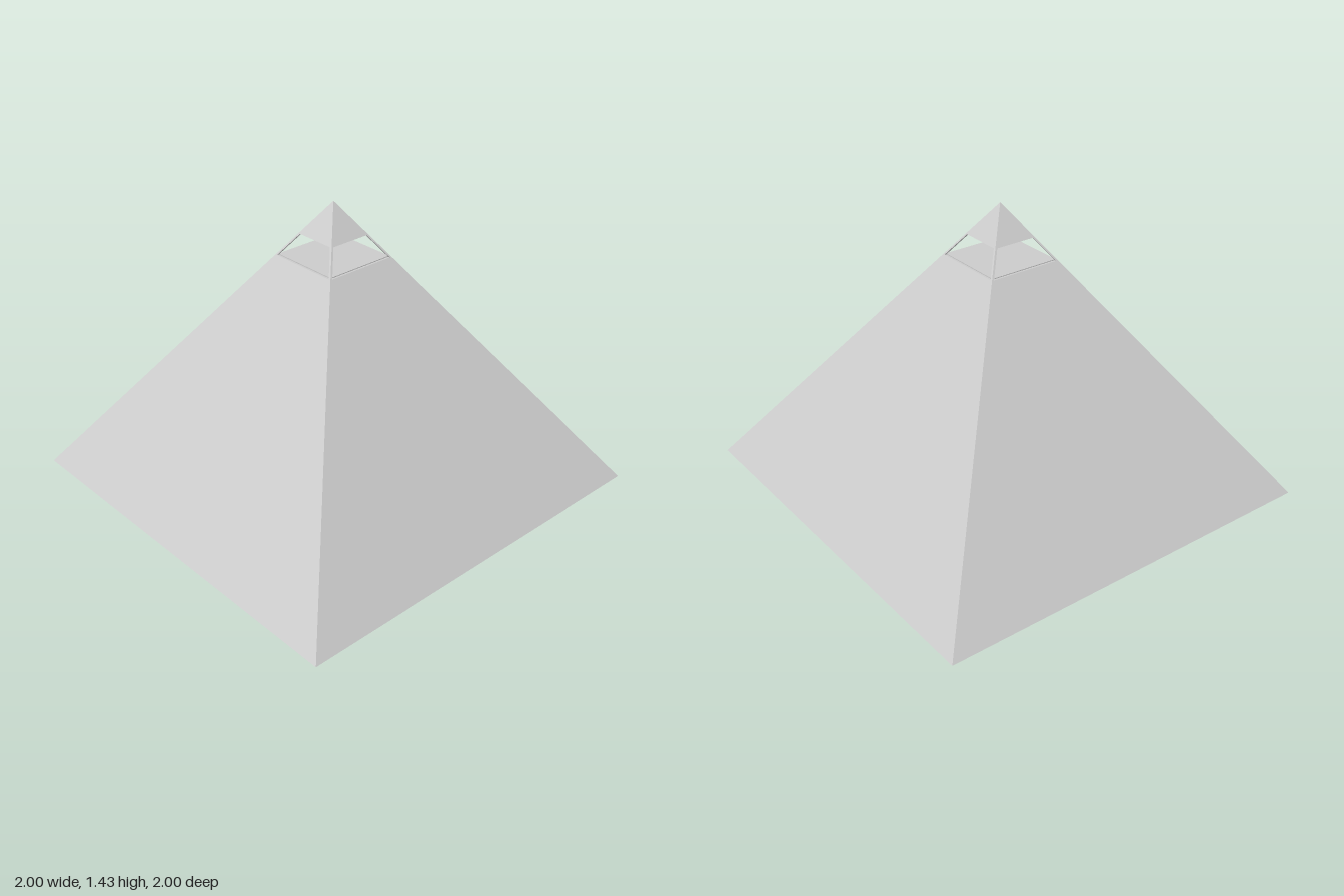
import * as THREE from 'three';

const HEIGHT = 1.43;      // apex height
const DECK = 1.163;       // top of the main body
const CEILING = 1.27;     // underside of the capstone
const SEAM = 1.32;        // joint between cap band and tip
const halfWidth = (y) => (HEIGHT - y) / HEIGHT;

export function createModel() {
  const group = new THREE.Group();
  const material = new THREE.MeshStandardMaterial({ color: 0xcccccc, flatShading: true });

  const add = (name, geometry) => {
    const mesh = new THREE.Mesh(geometry, material);
    mesh.name = name;
    group.add(mesh);
    return mesh;
  };

  // Square slice of the pyramid between two heights
  const slice = (name, y0, y1) => {
    const geometry = new THREE.CylinderGeometry(
      halfWidth(y1) * Math.SQRT2, halfWidth(y0) * Math.SQRT2, y1 - y0, 4);
    geometry.rotateY(Math.PI / 4);
    geometry.translate(0, (y0 + y1) / 2, 0);
    return add(name, geometry);
  };

  slice('body', 0, DECK);
  slice('capBand', CEILING, SEAM);
  slice('capTip', SEAM, HEIGHT);

  // Thin floor slab of the open deck
  const floorSize = 2 * halfWidth(DECK) - 0.02;
  add('deckFloor', new THREE.BoxGeometry(floorSize, 0.006, floorSize))
    .position.y = DECK + 0.001;

  // Shallow round fixture under the capstone
  add('ceilingFixture', new THREE.CylinderGeometry(0.08, 0.055, 0.017, 24))
    .position.y = CEILING - 0.008;

  // Slanted corner posts that continue the pyramid's edges
  const thickness = 0.011;
  const post = new THREE.BoxGeometry(1, 1, 1);
  const p = post.attributes.position;
  for (let i = 0; i < p.count; i++) {
    const y = p.getY(i) > 0 ? CEILING : DECK;
    const inset = (v) => halfWidth(y) - thickness * (0.5 - v);
    p.setXYZ(i, inset(p.getX(i)), y, inset(p.getZ(i)));
  }
  post.computeVertexNormals();
  for (let i = 0; i < 4; i++) {
    add('cornerPost' + (i + 1), post).rotation.y = i * Math.PI / 2;
  }

  return group;
}
